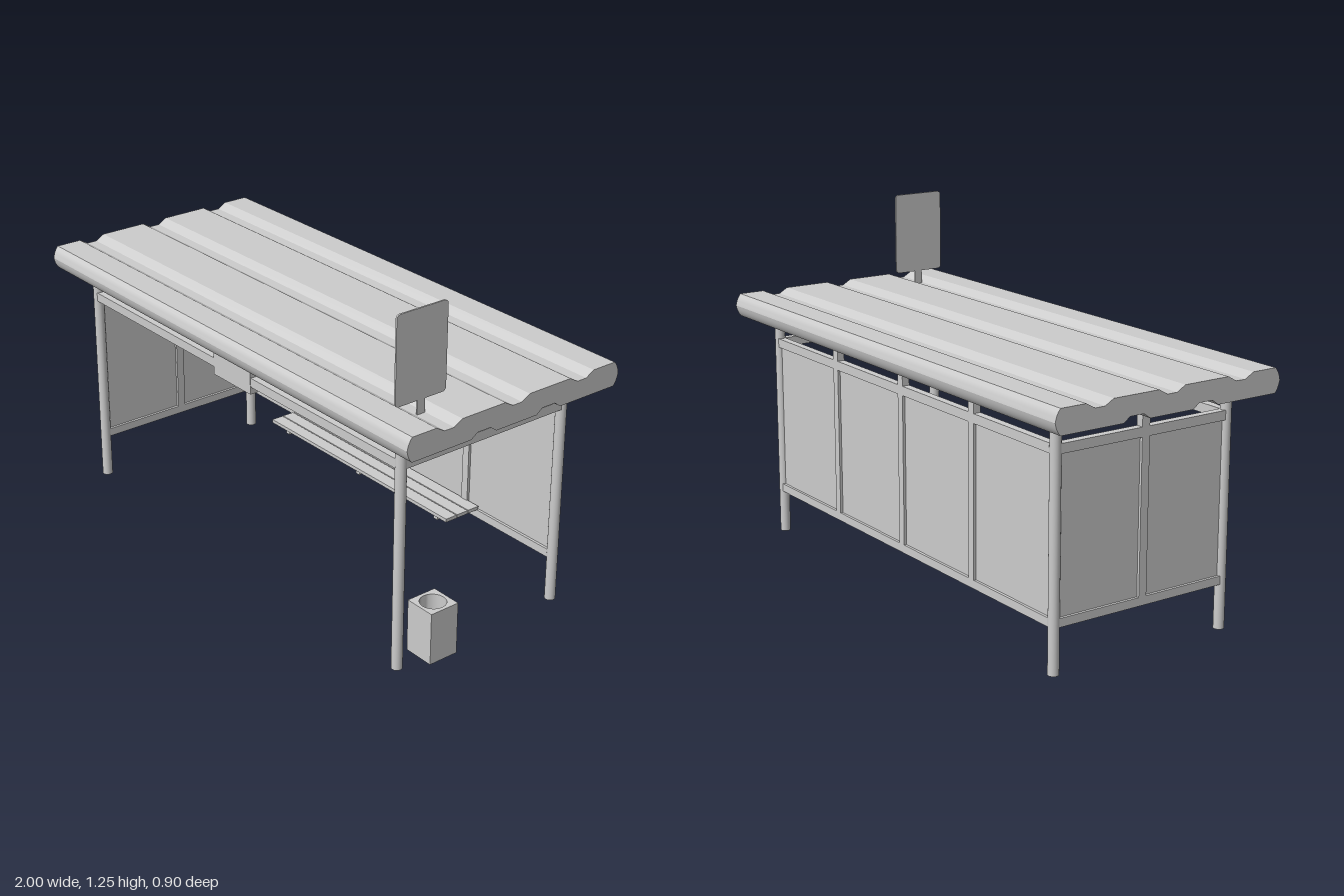
import * as THREE from 'three';
import { toCreasedNormals } from 'three/addons/utils/BufferGeometryUtils.js';

const metal = new THREE.MeshStandardMaterial({ color: 0xcccccc });
metal.name = 'light grey metal';

export function createModel() {
  const model = new THREE.Group();
  model.name = 'busShelter';

  const add = (name, geometry) => {
    const mesh = new THREE.Mesh(geometry, metal);
    mesh.name = name;
    model.add(mesh);
    return mesh;
  };
  // Box given by its limits on each axis
  const box = (name, x0, x1, y0, y1, z0, z1) => {
    const mesh = add(name, new THREE.BoxGeometry(x1 - x0, y1 - y0, z1 - z0));
    mesh.position.set((x0 + x1) / 2, (y0 + y1) / 2, (z0 + z1) / 2);
    return mesh;
  };
  // Profile drawn in (-z, y) and extruded along x, centred on the given x
  const extrudeX = (shape, width, x) => {
    const g = new THREE.ExtrudeGeometry(shape, { depth: width, bevelEnabled: false, curveSegments: 6 });
    g.translate(0, 0, -width / 2);
    g.rotateY(Math.PI / 2);
    g.translate(x, 0, 0);
    return toCreasedNormals(g, 0.4);
  };

  // Corrugated roof with rounded front and back edges
  const top = 0.915, bottom = 0.83, mid = 0.872;
  const roof = new THREE.Shape();
  roof.moveTo(-0.43, bottom);
  for (const c of [-0.138, 0.138]) {
    roof.lineTo(c - 0.052, bottom);
    roof.lineTo(c - 0.027, 0.848);
    roof.lineTo(c + 0.027, 0.848);
    roof.lineTo(c + 0.052, bottom);
  }
  roof.lineTo(0.43, bottom);
  roof.quadraticCurveTo(0.445, 0.845, 0.45, mid);
  roof.quadraticCurveTo(0.445, 0.9, 0.43, top);
  for (const c of [0.282, 0, -0.282]) {
    roof.lineTo(c + 0.052, top);
    roof.lineTo(c + 0.019, 0.896);
    roof.lineTo(c - 0.019, 0.896);
    roof.lineTo(c - 0.052, top);
  }
  roof.lineTo(-0.43, top);
  roof.quadraticCurveTo(-0.445, 0.9, -0.45, mid);
  roof.quadraticCurveTo(-0.445, 0.845, -0.43, bottom);
  add('roof', extrudeX(roof, 2, 0));

  // Corner posts
  const px = 0.86, front = 0.35, back = -0.342;
  for (const x of [-px, px]) {
    for (const z of [front, back]) {
      const post = add('cornerPost', new THREE.CylinderGeometry(0.019, 0.019, 0.832, 20));
      post.position.set(x, 0.416, z);
    }
  }

  // Rails between the posts
  const t = 0.014;
  const railX = (name, y0, y1, z) => box(name, -0.85, 0.85, y0, y1, z - t, z + t);
  const railZ = (name, y0, y1, x) => box(name, x - t, x + t, y0, y1, back + 0.01, front - 0.01);
  railX('frontTopRail', 0.727, 0.76, front);
  railX('backTopRail', 0.727, 0.76, back);
  railX('backBottomRail', 0.16, 0.19, back);
  railZ('leftTopRail', 0.727, 0.76, px);
  railZ('rightTopRail', 0.727, 0.76, -px);
  railZ('rightBottomRail', 0.16, 0.19, -px);

  // Wall panels and the uprights that divide them
  box('backPanel', -0.85, 0.85, 0.18, 0.74, back - 0.004, back + 0.004);
  box('sidePanel', -px - 0.004, -px + 0.004, 0.18, 0.74, back, front);
  for (const x of [-0.425, 0, 0.43]) {
    box('backUpright', x - 0.015, x + 0.015, 0.18, 0.845, back - t, back + t);
  }
  box('sideUpright', -px - t, -px + t, 0.18, 0.845, -0.011, 0.02);

  // Slatted bench on brackets
  for (let i = 0; i < 3; i++) {
    const z = -0.18 - i * 0.052;
    box('benchSlat', -0.5, 0.5, 0.192, 0.205, z - 0.048, z);
  }
  for (const x of [-0.42, 0, 0.43]) {
    box('benchBracket', x - 0.01, x + 0.01, 0.171, 0.192, back, -0.193);
  }

  // Notice board hung on the front rail
  box('noticeBoard', -0.105, 0.105, 0.7, 0.825, 0.334, 0.366);

  // Stop sign above the roof: rounded plate on a short neck
  const u0 = -0.385, u1 = -0.18, y0 = 0.945, y1 = 1.25, r = 0.016;
  const plate = new THREE.Shape();
  plate.moveTo(u0 + r, y0);
  plate.lineTo(u1 - r, y0);
  plate.quadraticCurveTo(u1, y0, u1, y0 + r);
  plate.lineTo(u1, y1 - r);
  plate.quadraticCurveTo(u1, y1, u1 - r, y1);
  plate.lineTo(u0 + r, y1);
  plate.quadraticCurveTo(u0, y1, u0, y1 - r);
  plate.lineTo(u0, y0 + r);
  plate.quadraticCurveTo(u0, y0, u0 + r, y0);
  add('signPlate', extrudeX(plate, 0.006, 0.865));
  box('signNeck', 0.862, 0.868, 0.89, 0.95, 0.265, 0.296);

  // Litter bin with a round opening
  const h = 0.0575;
  const binShape = new THREE.Shape();
  binShape.moveTo(-h, -h);
  binShape.lineTo(h, -h);
  binShape.lineTo(h, h);
  binShape.lineTo(-h, h);
  binShape.closePath();
  const hole = new THREE.Path();
  hole.absarc(0, 0, 0.045, 0, Math.PI * 2, true);
  binShape.holes.push(hole);
  const binGeometry = new THREE.ExtrudeGeometry(binShape, { depth: 0.18, bevelEnabled: false, curveSegments: 16 });
  binGeometry.rotateX(-Math.PI / 2);
  const bin = add('litterBin', toCreasedNormals(binGeometry, 0.6));
  bin.position.set(0.858, 0.01, 0.198);
  box('litterBinBase', 0.858 - h, 0.858 + h, 0, 0.01, 0.198 - h, 0.198 + h);

  return model;
}
